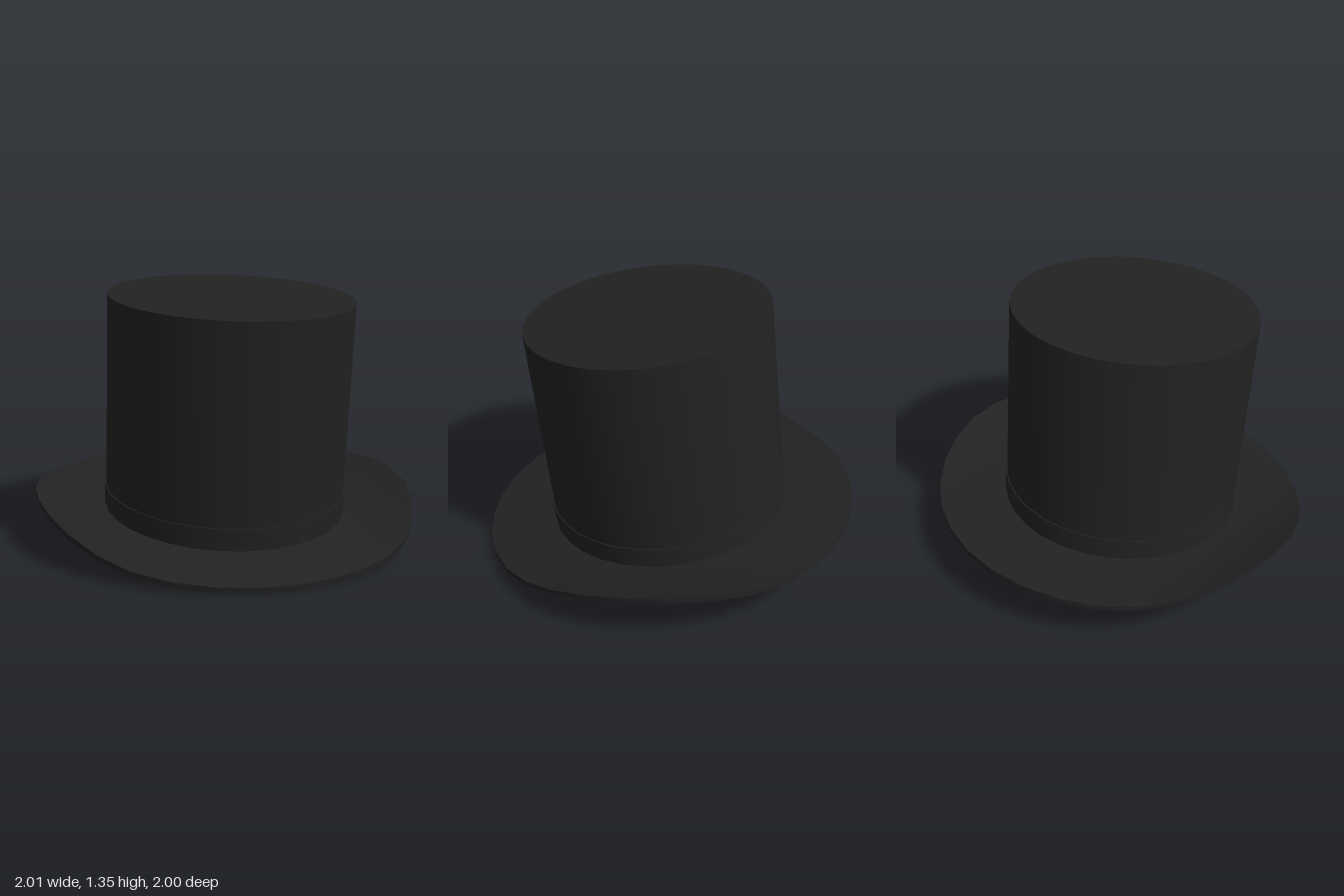
import * as THREE from 'three';
import { toCreasedNormals } from 'three/addons/utils/BufferGeometryUtils.js';

const SIDES = 32;
const TILT = THREE.MathUtils.degToRad(6.8);

// Spins an [r, y] outline, bends it by a rule, then keeps the edges sharp
function turned(name, outline, bend, material) {
  const points = outline.map(([r, y]) => new THREE.Vector2(r, y));
  const geometry = new THREE.LatheGeometry(points, SIDES);
  const pos = geometry.attributes.position;
  const v = new THREE.Vector3();
  for (let i = 0; i < pos.count; i++) {
    bend(v.fromBufferAttribute(pos, i));
    pos.setXYZ(i, v.x, v.y, v.z);
  }
  const mesh = new THREE.Mesh(toCreasedNormals(geometry, Math.PI / 5), material);
  mesh.name = name;
  return mesh;
}

export function createModel() {
  const felt = new THREE.MeshStandardMaterial({ color: 0x222222, side: THREE.DoubleSide });
  const hat = new THREE.Group();
  hat.name = 'topHat';

  // Crown and band lean back very slightly from the brim
  const lean = (v) => { v.z -= 0.013 * v.y; };

  // Hollow crown, open underneath
  hat.add(turned('crown', [
    [0, 1.12], [0.615, 1.12], [0.615, 0.005], [0.635, 0.005], [0.635, 1.143], [0, 1.143],
  ], lean, felt));

  // Band around the foot of the crown
  hat.add(turned('band', [
    [0.63, 0.005], [0.642, 0.005], [0.642, 0.133], [0.63, 0.133], [0.63, 0.005],
  ], lean, felt));

  // Brim: sides curl up, front and back dip a little
  const inner = 0.612, outer = 1.003, thick = 0.027, rings = 6;
  const radii = Array.from({ length: rings + 1 }, (_, i) => inner + (outer - inner) * i / rings);
  const brimOutline = [
    ...radii.map((r) => [r, 0]),
    ...radii.slice().reverse().map((r) => [r, thick]),
    [inner, 0],
  ];
  hat.add(turned('brim', brimOutline, (v) => {
    const side = Math.max(0, Math.abs(v.x) - 0.6) / 0.4;
    v.y += 0.1 * side * side - 0.017 * v.z * v.z;
  }, felt));

  // The whole hat tips forward
  hat.rotation.x = TILT;
  hat.position.y = 0.138;

  const model = new THREE.Group();
  model.name = 'hat';
  model.add(hat);
  return model;
}
